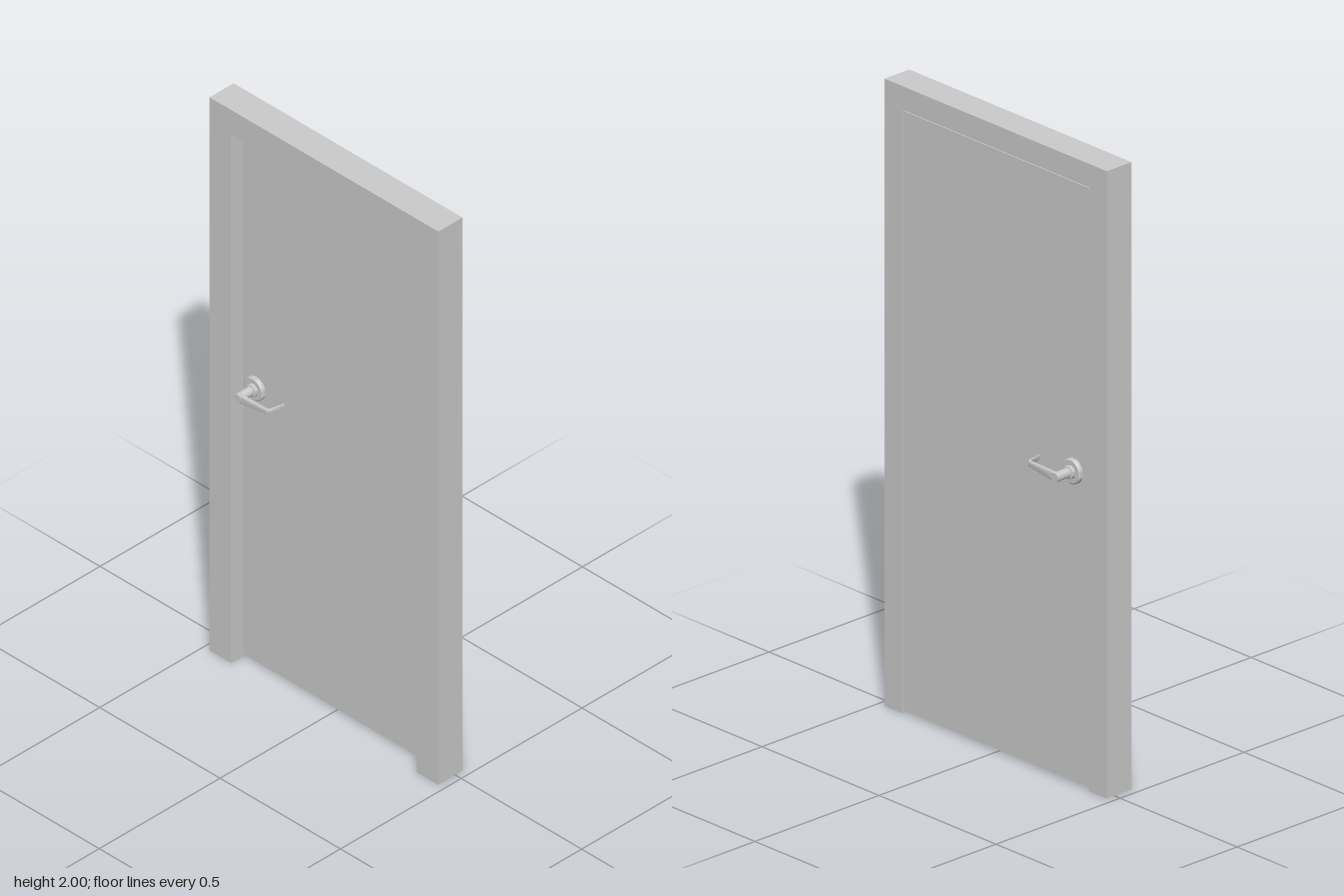
import * as THREE from 'three';
import { toCreasedNormals } from 'three/addons/utils/BufferGeometryUtils.js';

const DOOR_BACK = -0.027, DOOR_FRONT = 0.022;

function material(side = THREE.FrontSide) {
  return new THREE.MeshStandardMaterial({ color: 0xcccccc, side });
}

// Joins matching rings of points into a skin, optionally closing both ends.
function loft(rings, capped) {
  const pos = [];
  const tri = (...pts) => pts.forEach((p) => pos.push(p.x, p.y, p.z));
  const n = rings[0].length;
  for (let k = 0; k < rings.length - 1; k++) {
    for (let i = 0; i < n; i++) {
      const j = (i + 1) % n;
      const a = rings[k][i], b = rings[k][j], c = rings[k + 1][j], d = rings[k + 1][i];
      tri(a, b, c);
      tri(a, c, d);
    }
  }
  if (capped) {
    const first = rings[0], last = rings[rings.length - 1];
    for (let i = 1; i < n - 1; i++) {
      tri(first[0], first[i + 1], first[i]);
      tri(last[0], last[i], last[i + 1]);
    }
  }
  const geo = new THREE.BufferGeometry();
  geo.setAttribute('position', new THREE.Float32BufferAttribute(pos, 3));
  return toCreasedNormals(geo, 0.6);
}

// Rabbeted frame: an L-shaped section swept up, across and down; open at the feet.
function makeFrame() {
  const section = [[0, -0.03], [0, 0.07], [0.09, 0.07], [0.09, DOOR_FRONT], [0.075, DOOR_FRONT], [0.075, -0.03]];
  const stations = [[-1, 0], [-1, 1], [1, 1], [1, 0]];
  const rings = stations.map(([side, top]) => section.map(([inset, z]) =>
    new THREE.Vector3(side * (0.475 - inset), top * (2 - inset), z)));
  const frame = new THREE.Mesh(loft(rings, false), material(THREE.DoubleSide));
  frame.name = 'doorFrame';
  return frame;
}

// Door slab with a small gap around it.
function makeDoor() {
  const depth = DOOR_FRONT - DOOR_BACK;
  const door = new THREE.Mesh(new THREE.BoxGeometry(0.792, 1.911, depth), material());
  door.position.set(0, 0.01 + 1.911 / 2, (DOOR_FRONT + DOOR_BACK) / 2);
  door.name = 'doorPanel';
  return door;
}

// Lever handle reaching out from the door face; dir is +1 for front, -1 for back.
function makeHandle(dir) {
  const handle = new THREE.Group();

  // Round rose, collar and spindle in one turned profile
  const profile = [[0, 0], [0.04, 0], [0.04, 0.009], [0.036, 0.013], [0.021, 0.013],
    [0.021, 0.023], [0.015, 0.025], [0.015, 0.078], [0, 0.078]];
  const turned = new THREE.LatheGeometry(profile.map(([r, y]) => new THREE.Vector2(r, y)), 32);
  turned.rotateX(dir * Math.PI / 2);
  const rose = new THREE.Mesh(toCreasedNormals(turned, 0.5), material());
  rose.name = 'roseAndSpindle';

  // Tapering lever with a bent return: x, z, half thickness, half height, y offset
  const stations = [
    [0, 0.0705, 0.007, 0.015, 0], [0.05, 0.0695, 0.0058, 0.0125, 0.003],
    [0.1, 0.0685, 0.005, 0.01, 0.006], [0.115, 0.068, 0.0045, 0.009, 0.007],
    [0.1205, 0.061, 0.0035, 0.009, 0.007], [0.13, 0.013, 0.0012, 0.009, 0.007],
  ];
  const sides = 16;
  const soft = (v) => Math.sign(v) * Math.sqrt(Math.abs(v));
  const rings = stations.map(([x, z, thick, high, y], k) => {
    const p = stations[Math.max(k - 1, 0)], q = stations[Math.min(k + 1, stations.length - 1)];
    const t = new THREE.Vector2(q[0] - p[0], q[1] - p[1]).normalize();
    return Array.from({ length: sides }, (_, i) => {
      const a = (i / sides) * Math.PI * 2;
      const out = soft(Math.cos(a)) * thick;
      return new THREE.Vector3(x - t.y * out, y - dir * soft(Math.sin(a)) * high, dir * (z + t.x * out));
    });
  });
  const lever = new THREE.Mesh(loft(rings, true), material());
  lever.name = 'lever';

  handle.add(rose, lever);
  handle.position.set(-0.33, 1, dir > 0 ? DOOR_FRONT : DOOR_BACK);
  handle.name = dir > 0 ? 'frontHandle' : 'backHandle';
  return handle;
}

export function createModel() {
  const model = new THREE.Group();
  model.name = 'door';
  model.add(makeFrame(), makeDoor(), makeHandle(1), makeHandle(-1));
  return model;
}
